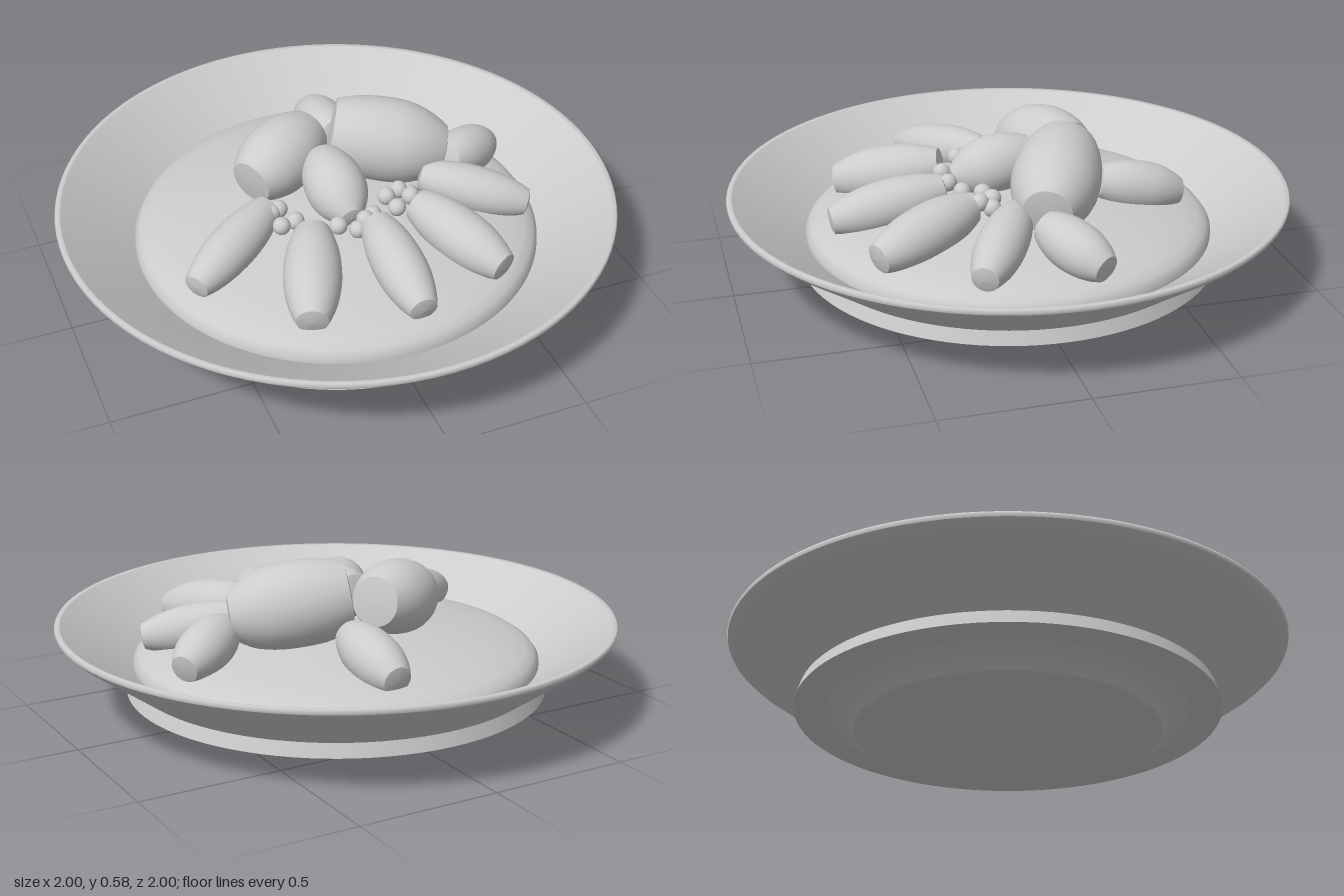
import * as THREE from 'three';

export function createModel() {
  const model = new THREE.Group();
  const grey = new THREE.MeshStandardMaterial({ color: 0xcccccc });
  grey.name = 'plain grey';

  const add = (name, geometry, parent = model) => {
    const mesh = new THREE.Mesh(geometry, grey);
    mesh.name = name;
    parent.add(mesh);
    return mesh;
  };
  const lathe = (points, sides = 96) =>
    new THREE.LatheGeometry(points.map(([r, y]) => new THREE.Vector2(r, y)), sides);

  // Plate: each band is its own lathe so the edges between bands stay crisp
  const plate = new THREE.Group();
  plate.name = 'plate';
  model.add(plate);
  const bands = {
    plateBase: [[0, 0], [0.54, 0]],
    plateFoot: [[0.54, 0], [0.552, 0.006], [0.575, 0.038], [0.64, 0.066]],
    plateUnderside: [[0.64, 0.066], [0.755, 0.07]],
    footRing: [[0.755, 0.07], [0.74, 0.118]],
    plateOuterWall: [[0.74, 0.118], [0.87, 0.212], [0.975, 0.287], [0.997, 0.308]],
    plateRim: [[0.997, 0.308], [1, 0.318], [0.995, 0.327], [0.98, 0.325]],
    plateInnerWall: [[0.98, 0.325], [0.85, 0.242], [0.72, 0.155]],
  };
  for (const [name, points] of Object.entries(bands)) add(name, lathe(points), plate);

  // Low domed bed filling the plate
  add('domedBed', lathe([
    [0.728, 0.15], [0.727, 0.18], [0.71, 0.203], [0.68, 0.222], [0.62, 0.241],
    [0.5, 0.267], [0.3, 0.296], [0.12, 0.316], [0, 0.32],
  ]));

  // Barrel-shaped piece with blunt ends, running from a to b
  const UP = new THREE.Vector3(0, 1, 0);
  function barrel(name, a, b, radius, endA, endB) {
    const from = new THREE.Vector3(...a), to = new THREE.Vector3(...b);
    const length = from.distanceTo(to);
    const group = new THREE.Group();
    group.name = name;
    const side = [];
    for (let i = 0; i <= 16; i++) {
      const u = i / 8 - 1;
      const end = u < 0 ? endA : endB;
      side.push([radius * (1 - (1 - end) * Math.abs(u) ** 2.2), (u * length) / 2]);
    }
    const half = length / 2, bulge = length * 0.02;
    add(name + 'Side', lathe(side, 32), group);
    add(name + 'InnerEnd', lathe([[0, -half - bulge], [radius * endA * 0.6, -half - bulge * 0.7], [radius * endA, -half]], 32), group);
    add(name + 'OuterEnd', lathe([[radius * endB, half], [radius * endB * 0.6, half + bulge * 0.7], [0, half + bulge]], 32), group);
    group.position.copy(from).add(to).multiplyScalar(0.5);
    group.quaternion.setFromUnitVectors(UP, to.sub(from).normalize());
    model.add(group);
  }

  // Ring of petals: inner x, z, outer x, z, radius
  [
    [-0.27, 0.03, -0.61, 0.26, 0.085],
    [-0.17, 0.21, -0.31, 0.57, 0.1],
    [0.05, 0.25, 0.055, 0.65, 0.09],
    [0.23, 0.2, 0.4, 0.55, 0.095],
    [0.31, 0.05, 0.64, 0.25, 0.085],
    [0.44, -0.01, 0.67, -0.15, 0.09],
    [0.12, -0.3, 0.12, -0.605, 0.092],
  ].forEach(([x1, z1, x2, z2, r], i) =>
    barrel('petal' + (i + 1), [x1, 0.345, z1], [x2, 0.272, z2], r, 0.62, 0.55));

  // Three large pieces piled in the middle
  barrel('largePieceLeft', [0.06, 0.45, -0.19], [0.43, 0.385, -0.02], 0.155, 0.78, 0.55);
  barrel('largePieceRight', [-0.01, 0.43, -0.25], [-0.29, 0.385, -0.085], 0.135, 0.65, 0.6);
  barrel('middlePiece', [-0.025, 0.42, -0.09], [-0.02, 0.355, 0.2], 0.108, 0.6, 0.35);

  // Small berries between the pieces
  const berries = new THREE.Group();
  berries.name = 'berries';
  model.add(berries);
  const berry = new THREE.SphereGeometry(0.032, 18, 12);
  [
    [-0.29, 0.01], [-0.24, 0.06], [-0.2, 0.12], [-0.27, 0.07], [-0.255, 0.13],
    [-0.08, 0.225], [-0.015, 0.245], [0.02, 0.225], [0.065, 0.185],
    [0.14, 0.13], [0.16, 0.18], [0.195, 0.11], [0.235, 0.12], [0.22, 0.16],
  ].forEach(([x, z], i) =>
    add('berry' + (i + 1), berry, berries).position.set(x, 0.335 + 0.02 * (i % 2), z));

  return model;
}
